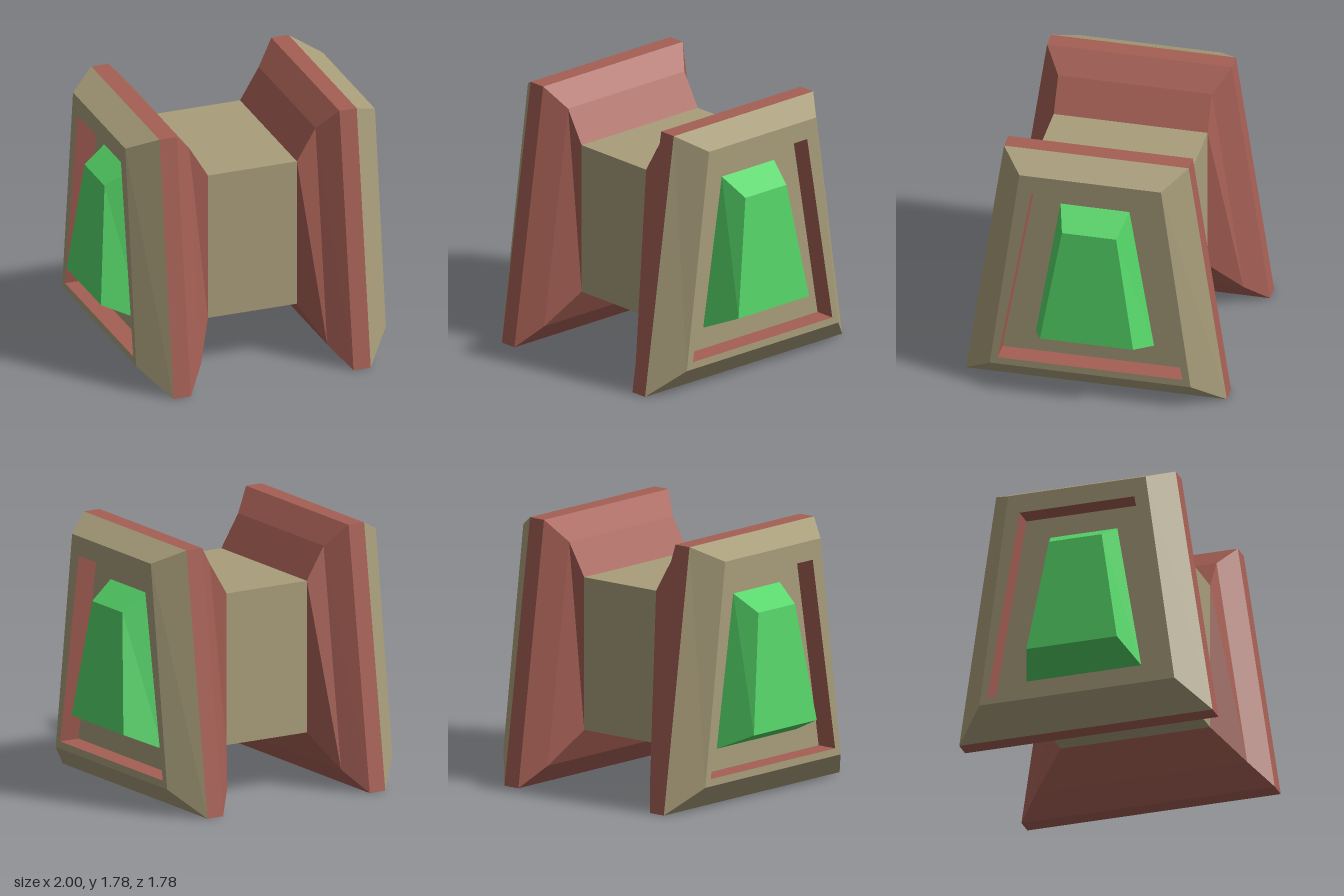
import * as THREE from 'three';

const material = (color) => new THREE.MeshStandardMaterial({ color, flatShading: true });
const tan = material(0xa99e7b);
const red = material(0xa55f54);
const green = material(0x55d468);

// Trapezoid across the x axis: bottom/top heights, half depths at bottom/top, optional lean of the top edge
const section = (x, y0, y1, z0, z1, xTop = x) => [
  [x, y0, z0], [x, y0, -z0], [xTop, y1, -z1], [xTop, y1, z1],
];

// Flat-faced skin through a list of sections, with an optional cap on the last one
function loft(name, mat, sections, cap = false) {
  const pos = [];
  const quad = (a, b, c, d) => pos.push(...a, ...b, ...c, ...a, ...c, ...d);
  for (let s = 0; s < sections.length - 1; s++) {
    const a = sections[s], b = sections[s + 1];
    for (let i = 0; i < 4; i++) {
      const j = (i + 1) % 4;
      quad(a[i], a[j], b[j], b[i]);
    }
  }
  if (cap) quad(...sections[sections.length - 1]);
  const geo = new THREE.BufferGeometry();
  geo.setAttribute('position', new THREE.Float32BufferAttribute(pos, 3));
  geo.computeVertexNormals();
  const mesh = new THREE.Mesh(geo, mat);
  mesh.name = name;
  return mesh;
}

function createEnd(name) {
  const end = new THREE.Group();
  end.name = name;

  const neck = section(0.317, 0.375, 1.415, 0.525, 0.525);
  const flare = section(0.45, 0.147, 1.637, 0.74, 0.525);
  const inner = section(0.58, 0, 1.785, 0.89, 0.63);
  const outer = section(0.703, 0, 1.785, 0.89, 0.63);
  const bevel = section(0.89, 0.182, 1.688, 0.685, 0.483);
  const rim = section(0.89, 0.232, 1.555, 0.63, 0.403);
  const floor = section(0.745, 0.232, 1.555, 0.63, 0.403);

  // Flared housing, bevelled frame and recessed panel
  end.add(loft('flaredHousing', red, [neck, flare, inner, outer]));
  end.add(loft('bevelledFrame', tan, [outer, bevel, rim]));
  end.add(loft('recessWalls', red, [rim, floor]));
  end.add(loft('recessPanel', tan, [floor], true));

  // Faceted lens, its face leaning inward at the top
  end.add(loft('lens', green, [
    section(0.745, 0.38, 1.41, 0.403, 0.235),
    section(1, 0.493, 1.295, 0.318, 0.185, 0.923),
  ], true));
  return end;
}

export function createModel() {
  const model = new THREE.Group();
  model.name = 'model';

  // Central block joining both ends
  const block = new THREE.Mesh(new THREE.BoxGeometry(0.634, 1.04, 1.05), tan);
  block.name = 'centralBlock';
  block.position.y = 0.895;
  model.add(block);

  // Matching ends, the right one turned half way round
  const right = createEnd('rightEnd');
  right.rotation.y = Math.PI;
  model.add(createEnd('leftEnd'), right);
  return model;
}
